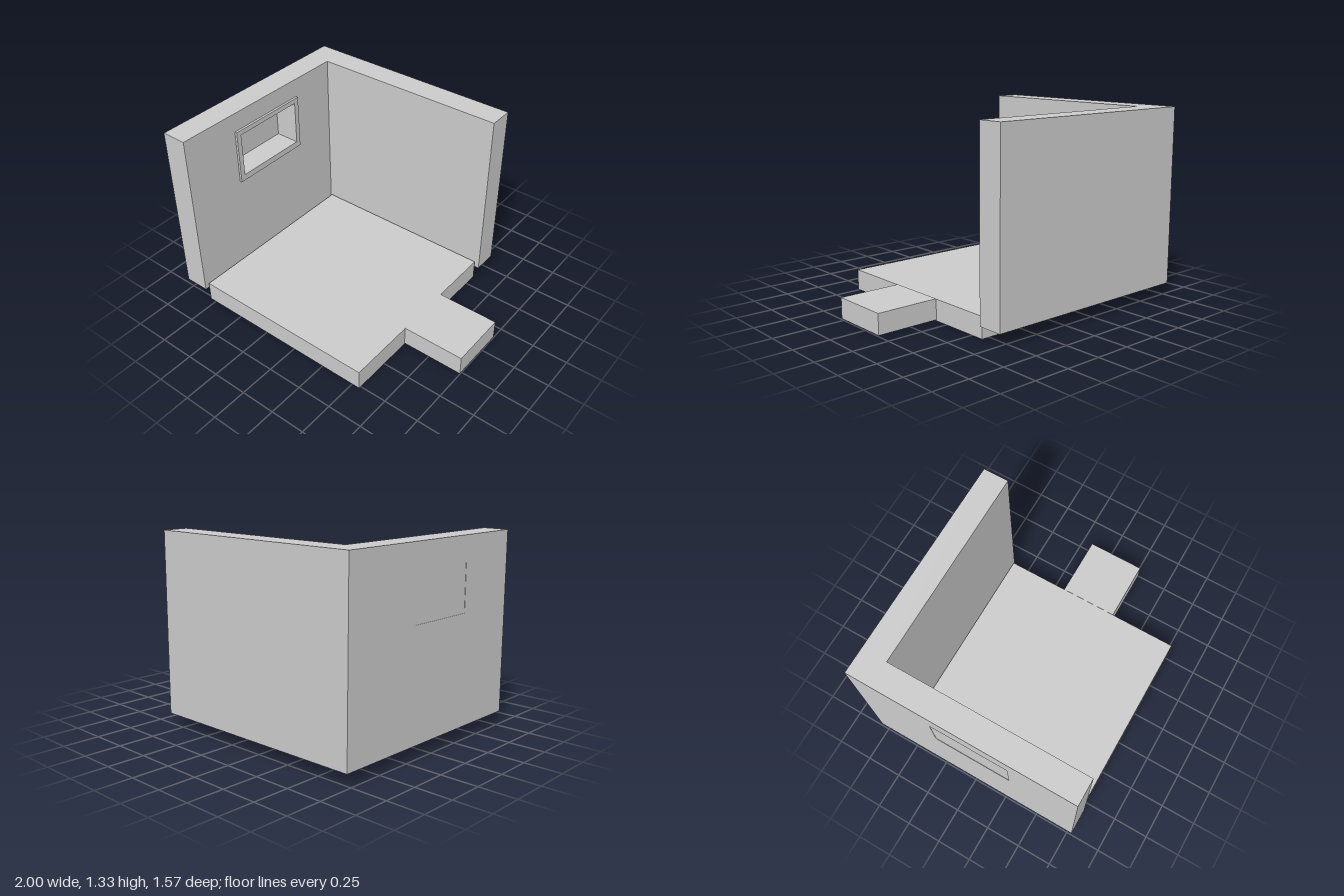
import * as THREE from 'three';

const material = new THREE.MeshStandardMaterial({ color: 0xcccccc, flatShading: true });

// Box given by its lower and upper corners
function slab(name, [x0, y0, z0], [x1, y1, z1]) {
  const mesh = new THREE.Mesh(new THREE.BoxGeometry(x1 - x0, y1 - y0, z1 - z0), material);
  mesh.position.set((x0 + x1) / 2, (y0 + y1) / 2, (z0 + z1) / 2);
  mesh.name = name;
  return mesh;
}

// Rectangle in the z-y plane, traced in extrusion coordinates (u = -z)
function rectangle(Type, { z0, z1, y0, y1 }) {
  const path = new Type();
  path.moveTo(-z1, y0);
  path.lineTo(-z0, y0);
  path.lineTo(-z0, y1);
  path.lineTo(-z1, y1);
  path.closePath();
  return path;
}

// Upright panel with a rectangular opening, running from x0 to x1
function panelWithOpening(name, outer, opening, x0, x1) {
  const shape = rectangle(THREE.Shape, outer);
  shape.holes.push(rectangle(THREE.Path, opening));
  const geometry = new THREE.ExtrudeGeometry(shape, { depth: x1 - x0, bevelEnabled: false });
  geometry.rotateY(Math.PI / 2);
  geometry.translate(x0, 0, 0);
  const mesh = new THREE.Mesh(geometry, material);
  mesh.name = name;
  return mesh;
}

export function createModel() {
  const model = new THREE.Group();
  model.name = 'roomCorner';
  const opening = { z0: -0.22, z1: 0.315, y0: 0.835, y1: 1.155 };

  // Floor and the doorstep that projects from it
  model.add(slab('floor', [-0.8, 0, -0.595], [0.557, 0.145, 0.767]));
  model.add(slab('doorstep', [0.557, 0.007, -0.148], [1, 0.148, 0.272]));

  // Two thick walls meeting in a corner
  model.add(slab('backWall', [-1, 0.09, -0.785], [0.585, 1.325, -0.607]));
  model.add(panelWithOpening('sideWall',
    { z0: -0.607, z1: 0.785, y0: 0.09, y1: 1.325 }, opening, -1, -0.82));

  // Window: raised frame inside, pane near the outer face
  const windowGroup = new THREE.Group();
  windowGroup.name = 'window';
  windowGroup.add(panelWithOpening('windowFrame',
    { z0: -0.257, z1: 0.352, y0: 0.79, y1: 1.19 }, opening, -0.82, -0.803));
  windowGroup.add(slab('windowPane',
    [-0.998, opening.y0, opening.z0], [-0.985, opening.y1, opening.z1]));
  model.add(windowGroup);

  return model;
}
